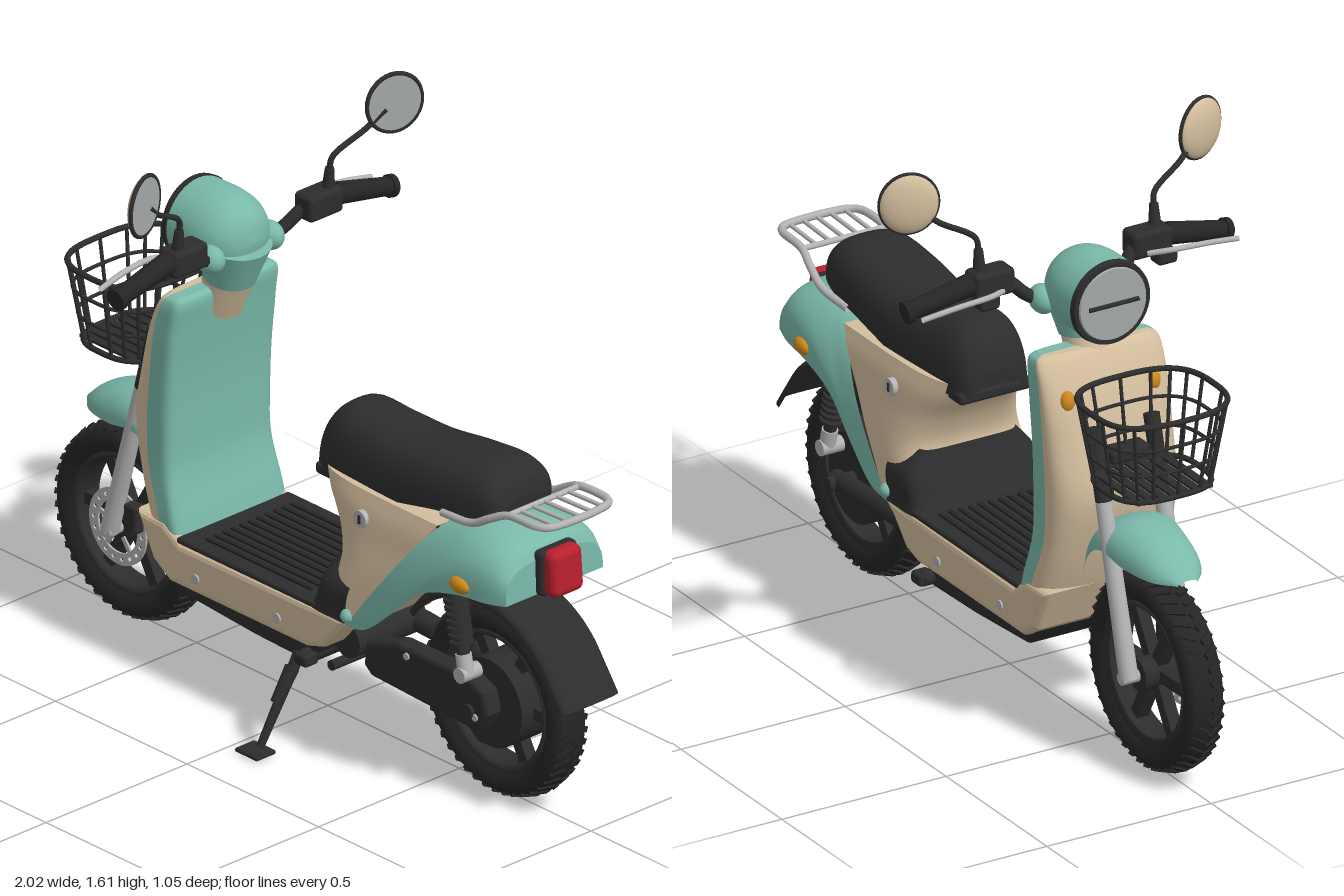
import * as THREE from 'three';
import { mergeGeometries } from 'three/addons/utils/BufferGeometryUtils.js';
import { RoundedBoxGeometry } from 'three/addons/geometries/RoundedBoxGeometry.js';

const paint = (name, color, side = THREE.DoubleSide) => Object.assign(new THREE.MeshStandardMaterial({ color, side }), { name });
const V = (x, y, z) => new THREE.Vector3(x, y, z);

export function createModel() {
  const teal = paint('teal', 0x7ab9aa), beige = paint('beige', 0xd3bd9d), black = paint('black plastic', 0x2d2d2d);
  const rubber = paint('rubber', 0x252525), silver = paint('silver', 0xb4b4b4), glass = paint('grey glass', 0xa4a8a8);
  const red = paint('red lens', 0xb81f2e), orange = paint('orange lens', 0xd08a1c);
  const root = new THREE.Group();

  const add = (name, geo, mat, x = 0, y = 0, z = 0, parent = root) => {
    const m = new THREE.Mesh(geo, mat);
    m.name = name;
    m.position.set(x, y, z);
    parent.add(m);
    return m;
  };
  // straight round bar between two points
  const rodGeo = (a, b, r, r2 = r, n = 16) => {
    const d = b.clone().sub(a);
    const g = new THREE.CylinderGeometry(r2, r, d.length(), n);
    g.applyQuaternion(new THREE.Quaternion().setFromUnitVectors(V(0, 1, 0), d.normalize()));
    return g.translate((a.x + b.x) / 2, (a.y + b.y) / 2, (a.z + b.z) / 2);
  };
  const rod = (name, a, b, r, mat, r2, n) => add(name, rodGeo(a, b, r, r2, n), mat);
  const tubeGeo = (pts, r, closed = false, n = 40) =>
    new THREE.TubeGeometry(new THREE.CatmullRomCurve3(pts, closed), n, r, 8, closed);
  // side profile extruded across the body between two z values
  const slab = (name, pts, z0, z1, mat, bevel = 0.015) => {
    const s = new THREE.Shape(pts.map(p => new THREE.Vector2(...p)));
    const g = new THREE.ExtrudeGeometry(s, {
      depth: z1 - z0 - 2 * bevel, bevelSize: bevel, bevelOffset: -bevel, bevelThickness: bevel, bevelSegments: 3,
    });
    return add(name, g, mat, 0, 0, z0 + bevel);
  };
  // curved shell: each row [edgeX, edgeY, crownX, crownY, halfWidth] is an arch over the centre plane
  const shell = (name, rows, mat, power = 2.5, capStart = false, capEnd = false, steps = 5) => {
    const N = 32, pos = [], idx = [], rings = [];
    const edge = new THREE.CatmullRomCurve3(rows.map(r => V(r[0], r[1], r[4])));
    const crown = new THREE.CatmullRomCurve3(rows.map(r => V(r[2], r[3], 0)));
    const count = (rows.length - 1) * steps;
    for (let i = 0; i <= count; i++) {
      const e = edge.getPoint(i / count), c = crown.getPoint(i / count), ring = [];
      for (let j = 0; j <= N; j++) {
        const t = Math.PI * j / N, k = Math.cos(t), p = 2 / power;
        const f = Math.pow(Math.max(0, Math.sin(t)), p);
        ring.push(V(e.x + (c.x - e.x) * f, e.y + (c.y - e.y) * f, e.z * Math.sign(k) * Math.pow(Math.abs(k), p)));
      }
      rings.push({ ring, e });
    }
    const strip = list => {
      const base = pos.length / 3;
      list.forEach(r => r.forEach(v => pos.push(v.x, v.y, v.z)));
      for (let i = 0; i < list.length - 1; i++) for (let j = 0; j < N; j++) {
        const a = base + i * (N + 1) + j, b = a + N + 1;
        idx.push(a, b, a + 1, b, b + 1, a + 1);
      }
    };
    strip(rings.map(r => r.ring));
    const flat = r => r.ring.map(() => V(r.e.x, r.e.y, 0));
    if (capStart) strip([flat(rings[0]), rings[0].ring]);
    if (capEnd) strip([rings[count].ring, flat(rings[count])]);
    const g = new THREE.BufferGeometry();
    g.setAttribute('position', new THREE.Float32BufferAttribute(pos, 3));
    g.setIndex(idx);
    g.computeVertexNormals();
    return add(name, g, mat);
  };
  const both = f => [1, -1].forEach(f);

  // wheels
  const wheel = (name, x, hubR, hubW) => {
    const g = new THREE.Group();
    g.name = name;
    g.position.set(x, 0.273, 0);
    root.add(g);
    const prof = [[.195, -.04], [.215, -.052], [.24, -.055], [.258, -.04], [.267, 0], [.258, .04], [.24, .055], [.215, .052], [.195, .04]];
    add('tyre', new THREE.LatheGeometry(prof.map(p => new THREE.Vector2(...p)), 64).rotateX(Math.PI / 2), rubber, 0, 0, 0, g);
    const blocks = [], spokes = [];
    for (let i = 0; i < 44; i++) both(s => {
      blocks.push(new THREE.BoxGeometry(.016, .012, .046).rotateY(s * .5).rotateX(s * .3)
        .translate(0, .262, s * .024).rotateZ((i + s * .2) / 44 * Math.PI * 2));
    });
    add('tread', mergeGeometries(blocks), rubber, 0, 0, 0, g);
    const rim = [[.178, -.035], [.2, -.042], [.2, .042], [.178, .035], [.178, -.035]];
    add('rim', new THREE.LatheGeometry(rim.map(p => new THREE.Vector2(...p)), 48).rotateX(Math.PI / 2), black, 0, 0, 0, g);
    for (let i = 0; i < 6; i++)
      spokes.push(new THREE.BoxGeometry(.034, .15, .035).translate(0, .115, 0).rotateZ(i * Math.PI / 3 + .5));
    add('spokes', mergeGeometries(spokes), black, 0, 0, 0, g);
    add('hub', new THREE.CylinderGeometry(hubR, hubR, hubW, 36).rotateX(Math.PI / 2), black, 0, 0, 0, g);
    return g;
  };
  const front = wheel('frontWheel', -.73, .045, .12);
  wheel('rearWheel', .677, .125, .12);
  const disc = new THREE.Shape().absarc(0, 0, .108, 0, Math.PI * 2);
  disc.holes.push(new THREE.Path().absarc(0, 0, .074, 0, Math.PI * 2, true));
  for (let i = 0; i < 18; i++)
    disc.holes.push(new THREE.Path().absarc(.091 * Math.cos(i * Math.PI / 9), .091 * Math.sin(i * Math.PI / 9), .006, 0, 7, true));
  add('brakeDisc', new THREE.ExtrudeGeometry(disc, { depth: .006, bevelEnabled: false, curveSegments: 24 }), silver, 0, 0, .06, front);
  for (let i = 0; i < 5; i++)
    add('discArm', new THREE.BoxGeometry(.014, .05, .006).translate(0, .055, 0).rotateZ(i * 1.2566), silver, 0, 0, .062, front);

  // fork and front fender
  both(s => {
    rod('forkLeg', V(-.735, .27, s * .088), V(-.61, .73, s * .088), .026, silver, .022);
    rod('forkTube', V(-.61, .73, s * .088), V(-.56, .92, s * .088), .022, black);
  });
  rod('frontAxle', V(-.73, .273, -.11), V(-.73, .273, .11), .018, silver);
  add('brakeCaliper', new RoundedBoxGeometry(.05, .08, .04, 2, .01), black, -.655, .33, .075);
  shell('frontFender', [[-.885, .58, -.885, .59, .03], [-.83, .58, -.83, .638, .075], [-.73, .585, -.74, .675, .1],
    [-.62, .6, -.64, .682, .11], [-.555, .55, -.55, .64, .105], [-.52, .48, -.49, .55, .095], [-.47, .41, -.45, .45, .08]], teal, 2.3);

  // leg shield: beige nose and teal inner face
  const shield = [[1.092, -.445, -.42, -.385, .16], [1.08, -.46, -.43, -.372, .182], [1, -.505, -.455, -.38, .19], [.85, -.555, -.475, -.395, .19],
    [.72, -.585, -.485, -.4, .19], [.585, -.56, -.478, -.398, .19], [.45, -.515, -.43, -.365, .198], [.36, -.47, -.4, -.345, .198]];
  shell('legShieldFront', shield.map(([y, f, m, , w]) => [m, y, f, y, w]), beige, 2.8, true);
  shell('legShieldInner', shield.map(([y, , m, b, w]) => [m, y, b, y, w]), teal, 7, true);
  both(s => {
    const lamp = add('frontIndicator', new THREE.SphereGeometry(1, 16, 10), orange, -.497, .98, s * .13);
    lamp.scale.set(.02, .03, .022);
  });

  // floor
  slab('sideRail', [[-.515, .45], [-.455, .325], [-.39, .282], [.13, .282], [.19, .3], [.285, .41], [.14, .412], [-.345, .408], [-.41, .45]], -.203, .203, beige, .02);
  slab('belly', [[-.42, .3], [-.36, .24], [-.1, .222], [.11, .216], [.16, .3]], -.17, .17, black, .015);
  add('floorMat', new RoundedBoxGeometry(.53, .018, .4, 2, .008), black, -.1, .412, 0);
  for (let i = -5; i <= 5; i++)
    add('matRib', new THREE.BoxGeometry(.4, .008, .012), rubber, -.1, .423, i * .03);
  shell('kickPanel', [[.28, .405, .115, .405, .205], [.28, .43, .135, .43, .203], [.29, .5, .162, .5, .2], [.3, .565, .185, .565, .15]], black, 7)
    .scale.z = .99;

  // seat box and tail
  shell('seatBox', [[.16, .29, .1, .29, .175], [.28, .4, .135, .4, .2], [.358, .5, .172, .5, .195], [.413, .57, .195, .57, .188],
    [.475, .65, .17, .65, .176], [.538, .73, .115, .73, .165], [.577, .78, .085, .78, .15]], beige, 4.5, false, true);
  shell('tail', [[.28, .4, .59, .8, .2], [.355, .415, .66, .815, .203], [.46, .5, .71, .818, .203], [.57, .597, .765, .812, .2],
    [.7, .64, .81, .8, .197], [.8, .648, .84, .785, .188], [.862, .655, .858, .755, .172]], teal, 3.2, false, true);
  both(s => {
    add('seatLock', new THREE.CylinderGeometry(.024, .024, .02, 20).rotateX(Math.PI / 2), silver, .31, .71, s * .168);
    add('keySlot', new THREE.BoxGeometry(.008, .024, .004), black, .31, .71, s * .179);
    add('tailBolt', new THREE.SphereGeometry(.02, 14, 10), teal, .287, .43, s * .198);
    [-.285, .025].forEach(x => add('railBolt', new THREE.CylinderGeometry(.014, .014, .01, 16).rotateX(Math.PI / 2), silver, x, .33, s * .203));
    add('rearIndicator', new THREE.SphereGeometry(1, 18, 12), orange, .71, .672, s * .195).scale.set(.036, .023, .018);
  });
  add('tailLightBase', new RoundedBoxGeometry(.04, .13, .13, 3, .015), black, .865, .715, 0);
  add('tailLight', new RoundedBoxGeometry(.055, .13, .11, 4, .022), red, .893, .717, 0).rotation.z = .08;

  // seat
  shell('seat', [[.055, .775, .055, .82, .05], [.062, .757, .072, .885, .09], [.11, .75, .125, .938, .112], [.25, .755, .25, .936, .126],
    [.38, .775, .38, .932, .133], [.54, .81, .54, .95, .136], [.68, .83, .68, .959, .126], [.735, .845, .735, .935, .108], [.755, .85, .755, .885, .07]], black, 2.8, true, true);
  add('seatBase', new RoundedBoxGeometry(.18, .035, .22, 2, .012), black, .155, .75, 0);

  // luggage rack
  const rail = [[.58, .815, .135], [.7, .83, .142], [.765, .865, .138], [.82, .89, .128], [.93, .895, .122], [.955, .895, .1]];
  add('rackRail', tubeGeo([...rail.map(p => V(...p)), ...rail.slice().reverse().map(([x, y, z]) => V(x, y, -z))], .011, false, 90), silver);
  rod('rackCrossbar', V(.82, .89, -.128), V(.82, .89, .128), .008, silver);
  for (let i = -2; i <= 2; i++) rod('rackBar', V(.82, .89, i * .042), V(.952, .895, i * .042), .006, silver);

  // rear mudguard, swing arm and shocks
  const guard = [];
  for (let i = 0; i <= 9; i++) {
    const a = (145 - i * 14.3) * Math.PI / 180, c = Math.cos(a), s = Math.sin(a), r = i === 9 ? .318 : .3;
    guard.push([.677 + r * c, .273 + r * s, .677 + (r + .035) * c, .273 + (r + .035) * s, .1]);
  }
  shell('rearMudguard', guard, black, 3.5);
  slab('swingArmCover', [[.27, .26], [.28, .33], [.4, .37], [.66, .37], [.73, .34], [.745, .28], [.72, .235], [.67, .22], [.3, .235]], .072, .13, black, .014);
  rod('swingArm', V(.25, .3, -.1), V(.7, .273, -.1), .032, black, .026);
  rod('armPivot', V(.2, .3, -.12), V(.2, .3, .12), .05, black);
  rod('rearAxle', V(.677, .273, -.14), V(.677, .273, .14), .02, black);
  [[.44, .345], [.7, .262]].forEach(([x, y]) => rod('coverBolt', V(x, y, .125), V(x, y, .135), .01, silver));
  both(s => {
    const a = V(.615, .66, s * .135), b = V(.675, .39, s * .14), at = t => a.clone().lerp(b, t);
    rod('shockBody', a, b, .018, black);
    for (let i = 0; i < 8; i++) rod('springCoil', at(.2 + i * .07), at(.235 + i * .07), .033, black);
    rod('shockFoot', at(.82), at(1.04), .022, silver);
    rod('shockMount', V(.675, .385, s * .1), V(.675, .385, s * .165), .022, silver);
  });

  // headlamp and steering neck
  rod('neck', V(-.415, 1.02, 0), V(-.365, 1.13, 0), .065, beige, .065, 28);
  rod('neckCowl', V(-.375, 1.105, 0), V(-.355, 1.22, 0), .07, teal, .1, 28);
  const head = [[.114, -.495], [.115, -.46], [.115, -.4], [.106, -.35], [.084, -.312], [.05, -.29], [0, -.28]];
  add('headlampShell', new THREE.LatheGeometry(new THREE.SplineCurve(head.map(p => new THREE.Vector2(...p))).getPoints(30), 40).rotateZ(-Math.PI / 2), teal, 0, 1.235, 0);
  rod('headlampRim', V(-.51, 1.235, 0), V(-.492, 1.235, 0), .115, black, .118, 40);
  rod('headlampGlass', V(-.515, 1.235, 0), V(-.509, 1.235, 0), .1, glass, .103, 40);
  rod('headlampBand', V(-.518, 1.235, -.075), V(-.518, 1.235, .075), .006, black);

  // handlebar, levers and mirrors
  both(s => {
    const P = (x, y, z) => V(x, y, s * z);
    add('barCowl', new THREE.SphereGeometry(1, 20, 14), teal, -.335, 1.205, s * .105).scale.set(.045, .04, .035);
    add('handlebar', tubeGeo([P(-.335, 1.195, .1), P(-.32, 1.225, .15), P(-.3, 1.268, .2), P(-.29, 1.275, .3)], .018), black);
    add('switchBox', new RoundedBoxGeometry(.07, .075, .12, 3, .014), black, -.292, 1.272, s * .24);
    add('leverPerch', new RoundedBoxGeometry(.05, .04, .06, 2, .01), black, -.325, 1.235, s * .27);
    rod('grip', P(-.291, 1.276, .295), P(-.282, 1.238, .48), .031, rubber, .025);
    rod('gripEnd', P(-.282, 1.239, .475), P(-.281, 1.236, .492), .031, rubber);
    add('brakeLever', tubeGeo([P(-.325, 1.25, .22), P(-.358, 1.26, .28), P(-.36, 1.255, .38), P(-.35, 1.24, .48)], .008), silver);
    rod('mirrorBase', P(-.285, 1.3, .267), P(-.28, 1.365, .267), .018, black, .012);
    add('mirrorStalk', tubeGeo([P(-.28, 1.35, .267), P(-.275, 1.395, .272), P(-.25, 1.455, .37), P(-.23, 1.5, .42)], .008), black);
    const m = new THREE.Group();
    m.name = 'mirror';
    m.position.set(-.222, 1.515, s * .443);
    m.rotation.y = s * .33;
    m.scale.y = 1.06;
    root.add(m);
    const back = new THREE.SphereGeometry(.08, 32, 12, 0, Math.PI * 2, 0, Math.PI / 2).scale(1, .36, 1).rotateZ(Math.PI / 2);
    add('mirrorBack', back, beige, 0, 0, 0, m);
    add('mirrorRim', new THREE.TorusGeometry(.078, .006, 10, 40).rotateY(Math.PI / 2), black, 0, 0, 0, m);
    add('mirrorGlass', new THREE.CylinderGeometry(.077, .077, .004, 40).rotateZ(Math.PI / 2), glass, .002, 0, 0, m);
  });

  // wire basket
  const wire = (t, a) => {
    const c = Math.cos(a), s = Math.sin(a), q = v => Math.sign(v) * Math.pow(Math.abs(v), .68);
    return V(-.708 + (.125 + .035 * t) * q(c), .812 + .23 * t, (.145 + .04 * t) * q(s));
  };
  const wires = [];
  [0, .35, .68, 1].forEach(t => {
    const pts = [];
    for (let i = 0; i < 32; i++) pts.push(wire(t, i / 16 * Math.PI));
    wires.push(tubeGeo(pts, t === 1 || t === 0 ? .008 : .005, true, 72));
  });
  for (let i = 0; i < 18; i++) wires.push(rodGeo(wire(0, i / 9 * Math.PI), wire(1, i / 9 * Math.PI), .005, .005, 8));
  add('basketWires', mergeGeometries(wires), black);
  for (let i = -3; i <= 3; i++) add('basketSlat', new THREE.BoxGeometry(.23, .008, .024), black, -.708, .81, i * .034);
  add('basketBracket', new RoundedBoxGeometry(.09, .035, .12, 2, .01), black, -.565, .84, 0);

  // stands
  rod('standAxle', V(.11, .245, -.2), V(.11, .245, .2), .02, black);
  both(s => add('standPeg', new RoundedBoxGeometry(.05, .035, .05, 2, .01), black, .12, .245, s * .19));
  rod('centreStandBar', V(.14, .205, -.12), V(.14, .205, .12), .014, black);
  rod('kickstandLeg', V(.095, .25, .19), V(.08, .015, .315), .017, black, .011);
  rod('kickstandSpring', V(.1, .22, .22), V(.09, .13, .268), .02, black, .016);
  add('kickstandFoot', new RoundedBoxGeometry(.085, .012, .07, 2, .005), black, .078, .007, .33);
  return root;
}
